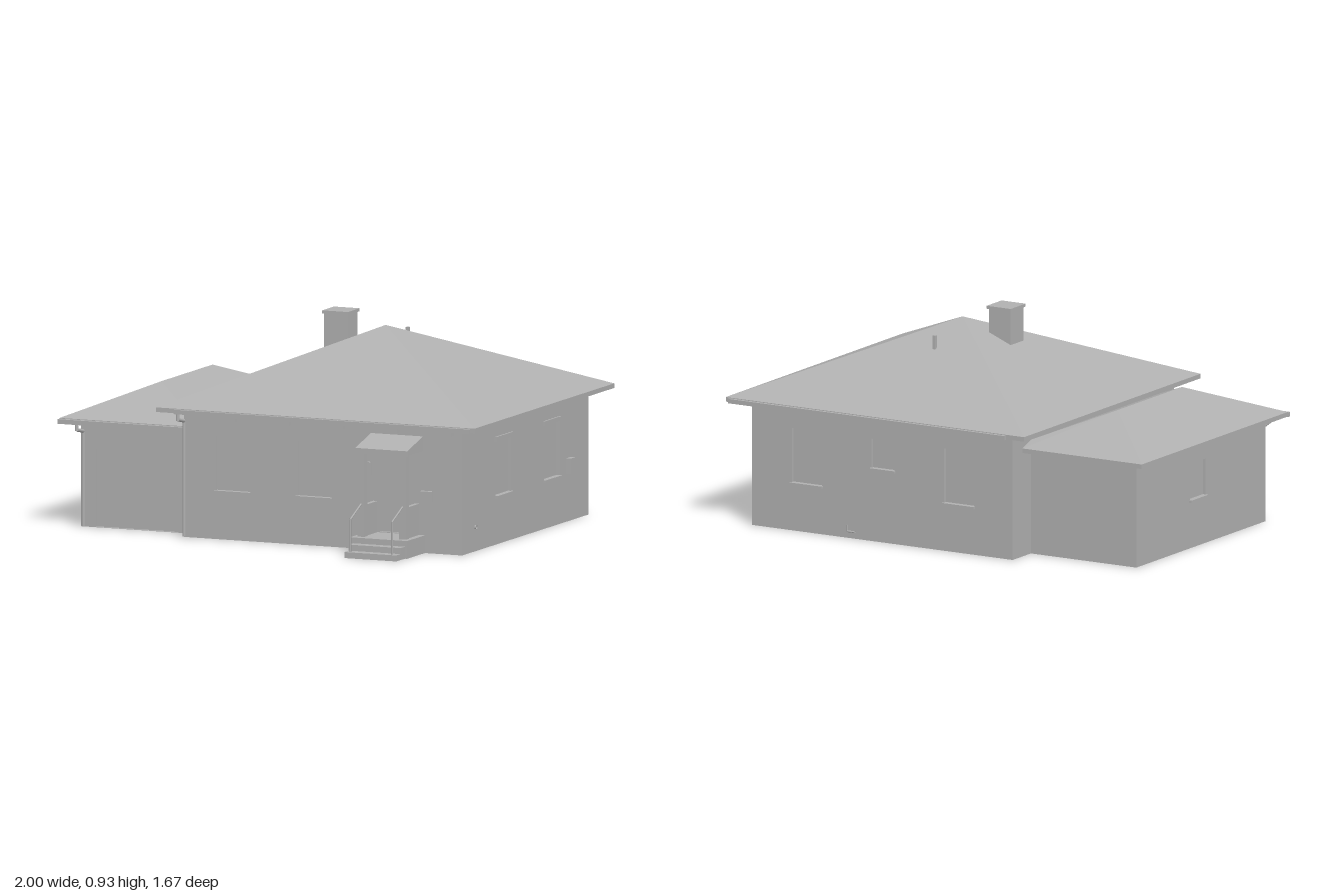
import * as THREE from 'three';

const grey = new THREE.MeshStandardMaterial({ color: 0xb0b0b0, side: THREE.DoubleSide });
grey.name = 'plain grey';
const T = 0.02; // wall thickness

export function createModel() {
  const house = new THREE.Group();
  house.name = 'house';

  const add = (name, geometry, parent = house) => {
    const mesh = new THREE.Mesh(geometry, grey);
    mesh.name = name;
    parent.add(mesh);
    return mesh;
  };
  const box = (name, x0, x1, y0, y1, z0, z1, parent) => {
    const g = new THREE.BoxGeometry(x1 - x0, y1 - y0, z1 - z0);
    g.translate((x0 + x1) / 2, (y0 + y1) / 2, (z0 + z1) / 2);
    return add(name, g, parent);
  };
  const bar = (name, a, b, r) => {
    const path = new THREE.LineCurve3(new THREE.Vector3(...a), new THREE.Vector3(...b));
    return add(name, new THREE.TubeGeometry(path, 1, r, 8));
  };
  const shapeOf = (pts) => new THREE.Shape(pts.map(([x, y]) => new THREE.Vector2(x, y)));
  const rect = (x0, x1, y0, y1) => [[x0, y0], [x1, y0], [x1, y1], [x0, y1]];

  // Wall with recessed openings, turned to face out at a distance from the centre
  const wall = (name, angle, dist, outline, openings = []) => {
    const g = new THREE.Group();
    g.name = name;
    g.rotation.y = angle;
    const shape = shapeOf(outline);
    for (const o of openings) shape.holes.push(shapeOf(rect(...o.at)));
    const geo = new THREE.ExtrudeGeometry(shape, { depth: T, bevelEnabled: false });
    add(name + 'Panel', geo.translate(0, 0, dist - T), g);
    for (const { at: [a, b, c, d], sill, header, kind = 'window' } of openings) {
      box(kind, a, b, c, d, dist - T, dist - T + 0.006, g);
      if (sill) box('windowSill', a - 0.006, b + 0.006, c - 0.008, c + 0.002, dist - T, dist + 0.012, g);
      if (header) box('windowHeader', a - 0.008, b + 0.008, d - 0.02, d, dist - T, dist + 0.008, g);
    }
    house.add(g);
  };
  const H = 0.545, Q = Math.PI / 2;
  const win = (a, b, c, d, header = false) => ({ at: [a, b, c, d], sill: true, header });

  // Main walls
  wall('frontWall', 0, 0.56, rect(-0.4, 0.91, 0, H), [
    win(-0.25, -0.09, 0.21, 0.45), win(0.135, 0.295, 0.21, 0.45),
    { at: [0.52, 0.68, 0.08, 0.45], kind: 'frontDoor' },
  ]);
  wall('leftWall', Q, 0.91, rect(-0.56, 0.75, 0, H), [
    win(-0.215, -0.055, 0.21, 0.468, true), win(0.29, 0.45, 0.21, 0.468, true),
  ]);
  wall('backWall', 2 * Q, 0.75, rect(-0.91, 0.4, 0, H), [
    win(-0.71, -0.56, 0.21, 0.45), win(-0.31, -0.195, 0.32, 0.45), win(0.055, 0.205, 0.21, 0.45),
  ]);
  wall('rightWall', -Q, 0.4, [[-0.75, 0], [-0.6, 0], [-0.6, 0.5], [0.46, 0.5],
    [0.46, 0], [0.56, 0], [0.56, H], [-0.75, H]]);

  // Garage walls
  const G = 0.46;
  wall('garageFrontWall', 0, 0.46, rect(-0.93, -0.4, 0, G), [
    { at: [-0.86, -0.49, 0.002, 0.34], kind: 'garageDoor' },
  ]);
  wall('garageSideWall', -Q, 0.93, rect(-0.6, 0.46, 0, G), [win(-0.16, -0.03, 0.21, 0.37)]);
  wall('garageBackWall', 2 * Q, 0.6, rect(0.4, 0.93, 0, G));

  // Roof slopes, each a flat polygon
  const slopes = (name, faces) => {
    const pos = [];
    for (const f of faces)
      for (let i = 1; i < f.length - 1; i++) pos.push(...f[0], ...f[i], ...f[i + 1]);
    const g = new THREE.BufferGeometry();
    g.setAttribute('position', new THREE.Float32BufferAttribute(pos, 3));
    g.computeVertexNormals();
    add(name, g);
  };
  // Flat eave ring: fascia and soffit in one; outline points are x and z
  const eave = (name, outline, hole, y) => {
    const flip = (pts) => pts.map(([x, z]) => [x, -z]);
    const s = shapeOf(flip(outline));
    if (hole) s.holes.push(shapeOf(flip(hole)));
    const g = new THREE.ExtrudeGeometry(s, { depth: 0.02, bevelEnabled: false });
    add(name, g.rotateX(-Q).translate(0, y, 0));
  };

  const y1 = 0.565, apex = [0.25, 0.87, -0.1];
  const c = [[-0.5, y1, 0.63], [1, y1, 0.63], [1, y1, -0.82], [-0.5, y1, -0.82]];
  slopes('mainRoof', c.map((p, i) => [p, c[(i + 1) % 4], apex]));
  eave('mainEave', rect(-0.5, 1, -0.82, 0.63), rect(-0.39, 0.9, -0.74, 0.55), H);

  const y2 = 0.475, ridgeF = [-0.67, 0.61, 0.2], ridgeB = [-0.67, 0.61, -0.33];
  const cutF = [-0.4, 0.5, 0.47], cutB = [-0.4, 0.5, -0.6];
  const fl = [-1, y2, 0.53], fr = [-0.4, y2, 0.53], bl = [-1, y2, -0.67], br = [-0.4, y2, -0.67];
  slopes('garageRoof', [[fl, fr, cutF, ridgeF], [br, bl, ridgeB, cutB],
    [bl, fl, ridgeF, ridgeB], [cutF, cutB, ridgeB, ridgeF]]);
  eave('garageEave', [[-1, 0.53], [-0.4, 0.53], [-0.4, 0.45], [-0.92, 0.45],
    [-0.92, -0.59], [-0.4, -0.59], [-0.4, -0.67], [-1, -0.67]], null, 0.455);

  // Gutters, brackets and downspouts
  box('frontGutter', -0.41, 0.98, 0.543, 0.562, 0.63, 0.645);
  box('backGutter', -0.41, 0.98, 0.543, 0.562, -0.835, -0.82);
  box('garageGutter', -1, -0.41, 0.452, 0.472, 0.53, 0.55);
  for (const x of [-0.135, 0.12, 0.375, 0.63, 0.885])
    box('eaveBracket', x - 0.005, x + 0.005, 0.522, H, 0.6, 0.63);
  const downspout = (x, top, zOut, zIn) => {
    bar('downspoutOutlet', [x, top, zOut], [x, top - 0.03, zOut], 0.008);
    bar('downspoutElbow', [x, top - 0.025, zOut], [x, top - 0.04, zIn], 0.008);
    bar('downspout', [x, top - 0.035, zIn], [x, 0.005, zIn], 0.008);
  };
  downspout(-0.395, 0.545, 0.637, 0.57);
  downspout(-0.915, 0.455, 0.54, 0.47);

  // Chimney and vent
  box('chimney', 0.008, 0.117, 0.74, 0.92, -0.1, 0.005);
  box('chimneyCap', 0.002, 0.123, 0.92, 0.933, -0.11, 0.013);
  box('roofVent', 0.243, 0.257, 0.76, 0.83, -0.336, -0.322);

  // Porch, steps and canopy
  box('porchPlatform', 0.465, 0.735, 0, 0.077, 0.56, 0.745);
  box('upperStep', 0.48, 0.725, 0, 0.052, 0.745, 0.79);
  box('lowerStep', 0.48, 0.725, 0, 0.026, 0.79, 0.835);
  const canopy = shapeOf([[-0.56, 0.44], [-0.56, 0.505], [-0.72, 0.462], [-0.72, 0.44]]);
  add('porchCanopy', new THREE.ExtrudeGeometry(canopy, { depth: 0.245, bevelEnabled: false })
    .rotateY(Q).translate(0.48, 0, 0));
  for (const x of [0.502, 0.698]) {
    box('porchColumn', x - 0.016, x + 0.016, 0.077, 0.44, 0.68, 0.712);
    box('porchParapet', x - 0.01, x + 0.01, 0.077, 0.212, 0.56, 0.68);
    bar('handrail', [x, 0.218, 0.71], [x, 0.167, 0.82], 0.004);
    bar('railPost', [x, 0.167, 0.82], [x, 0.026, 0.82], 0.004);
  }

  // Small wall fittings
  box('mailbox', 0.45, 0.485, 0.32, 0.38, 0.56, 0.575);
  box('wallPanel', 0.72, 0.775, 0.225, 0.27, 0.56, 0.58);
  box('meterBox', 0.91, 0.932, 0.21, 0.275, -0.57, -0.522);
  bar('wallTap', [0.9, 0.105, 0.425], [0.918, 0.105, 0.425], 0.009);
  bar('drainPipe', [0.43, 0.06, -0.755], [0.43, 0.03, -0.755], 0.004);
  bar('drainPipeFoot', [0.43, 0.03, -0.755], [0.39, 0.03, -0.755], 0.004);

  return house;
}
